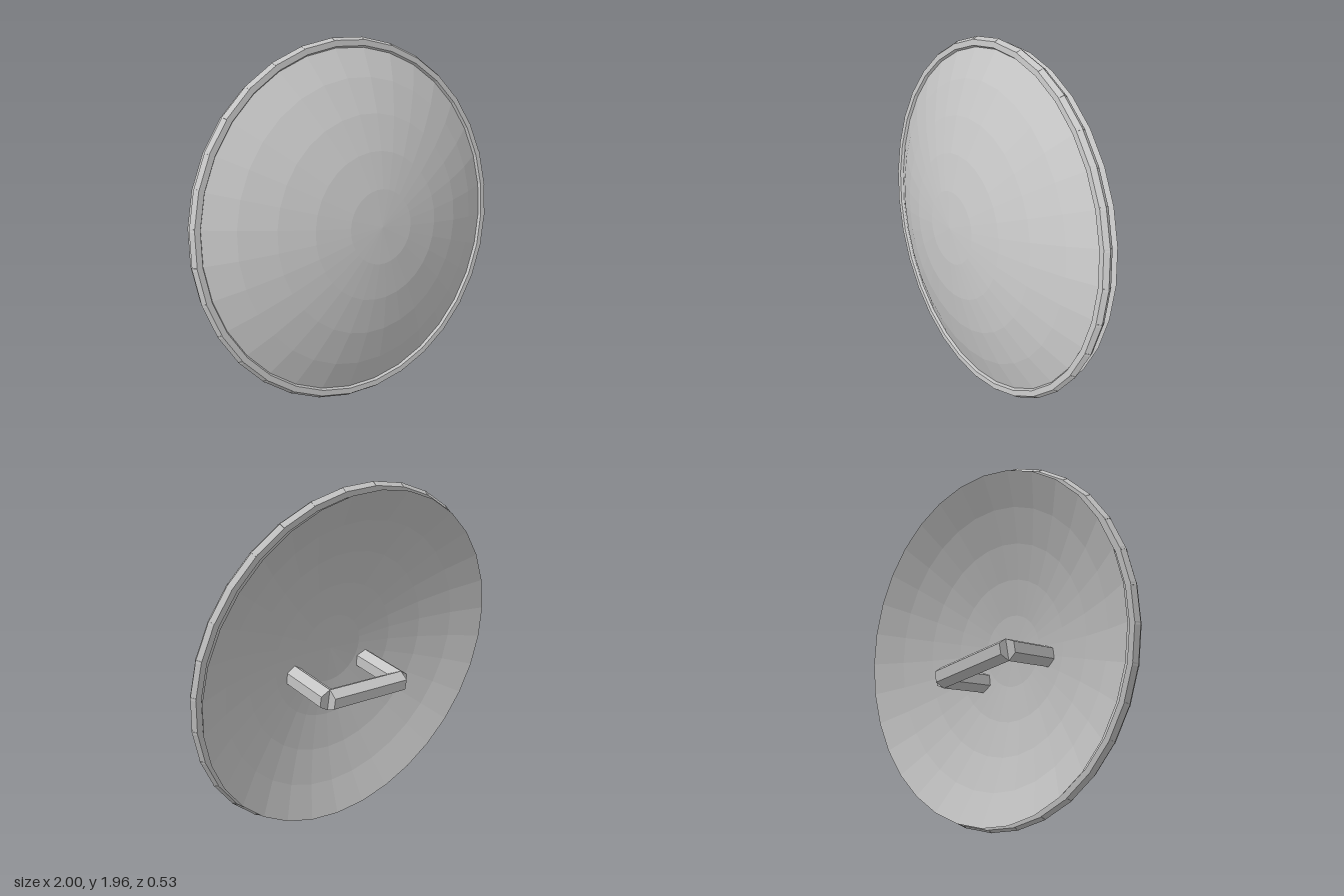
import * as THREE from 'three';

const SEGMENTS = 32;
const TILT = THREE.MathUtils.degToRad(10.8);

export function createModel() {
  const model = new THREE.Group();
  model.name = 'roundShield';
  const metal = new THREE.MeshStandardMaterial({
    name: 'greyMetal', color: 0xc4c4c4, flatShading: true, side: THREE.DoubleSide,
  });

  // Built facing +z, then leaned back
  const shield = new THREE.Group();
  shield.name = 'leaningShield';
  shield.position.set(0, 0.988, -0.015);
  shield.rotation.x = -TILT;
  model.add(shield);

  const add = (name, geometry, parent = shield) => {
    const mesh = new THREE.Mesh(geometry, metal);
    mesh.name = name;
    parent.add(mesh);
    return mesh;
  };

  // Shallow open spherical caps: the domed face and the bowl behind it
  const addCap = (name, edge, depth, edgeZ) => {
    const radius = (edge * edge + depth * depth) / (2 * depth);
    const cap = new THREE.SphereGeometry(radius, SEGMENTS, 5, 0, Math.PI * 2, 0, Math.asin(edge / radius));
    cap.rotateX(Math.PI / 2);
    add(name, cap).position.z = edgeZ - (radius - depth);
  };
  addCap('frontDome', 0.967, 0.25, 0);
  addCap('backBowl', 0.973, 0.245, -0.068);

  // Rim: short six-sided rods that overlap at the joints
  const rim = new THREE.Group();
  rim.name = 'rim';
  shield.add(rim);
  const half = Math.PI / SEGMENTS, rimRadius = 0.967;
  const rod = new THREE.CylinderGeometry(0.031, 0.031, 2 * rimRadius * Math.sin(half) + 0.02, 6, 1, false, Math.PI / 2);
  rod.translate(rimRadius * Math.cos(half), 0, 0);
  for (let i = 0; i < SEGMENTS; i++) {
    add('rimSegment', rod, rim).rotation.z = (2 * i + 1) * half;
  }

  // Grip: a bar held by two posts behind the bowl
  const grip = new THREE.Group();
  grip.name = 'handle';
  grip.position.set(0, -0.113, -0.153);
  shield.add(grip);
  const thickness = 0.061, span = 0.51, postLength = 0.33;
  const bar = new THREE.CylinderGeometry(thickness, thickness, span, 6);
  bar.rotateZ(Math.PI / 2).rotateX(Math.PI / 2);
  add('handleBar', bar, grip);
  const post = new THREE.CylinderGeometry(thickness, thickness, postLength, 6);
  post.rotateX(Math.PI / 2).translate(0, 0, postLength / 2);
  for (const side of [-1, 1]) {
    add(side > 0 ? 'leftPost' : 'rightPost', post, grip).position.x = side * span / 2;
  }

  return model;
}
